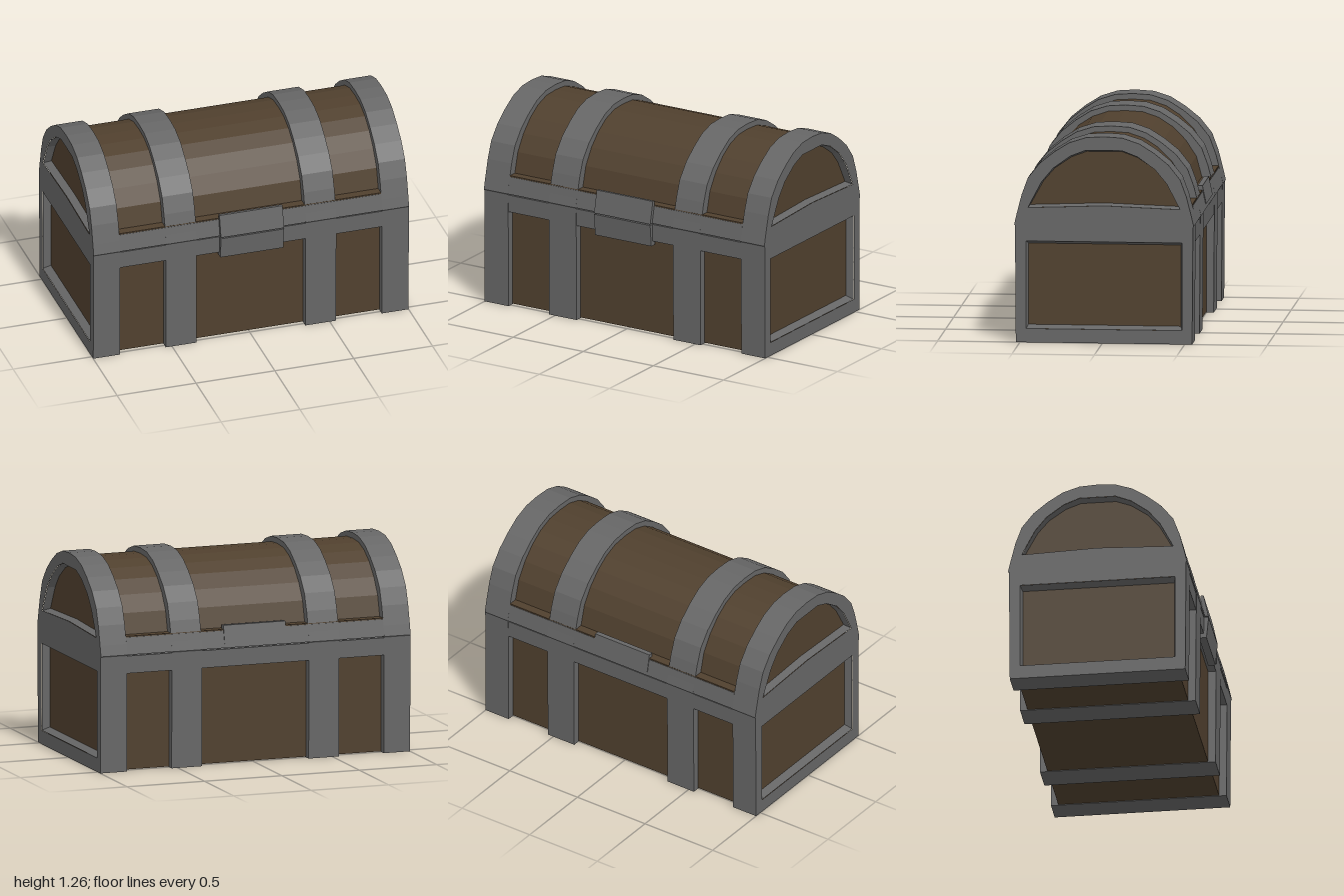
import * as THREE from 'three';

const metal = new THREE.MeshStandardMaterial({ color: 0x666666, flatShading: true });
const wood = new THREE.MeshStandardMaterial({ color: 0x50402e, flatShading: true });
const metalThin = new THREE.MeshStandardMaterial({ color: 0x666666, flatShading: true, side: THREE.DoubleSide });

const MID = -0.01; // centre of the cross-section in z

// Half profiles as [distance from MID, y], from the apex outwards
const OUTER_ARCH = [[0, 1.267], [0.11, 1.26], [0.212, 1.227], [0.303, 1.17], [0.39, 1.1], [0.462, 1.01], [0.5, 0.907], [0.53, 0.79], [0.545, 0.725]];
const OUTER = [...OUTER_ARCH, [0.54, 0.717], [0.535, 0.006]];
const CORE = [[0, 1.233], [0.105, 1.227], [0.2, 1.195], [0.285, 1.14], [0.365, 1.06], [0.43, 0.96], [0.465, 0.83], [0.49, 0.7], [0.49, 0.01]];
const HOLLOW = [[0, 1.19], [0.19, 1.15], [0.36, 1.02], [0.45, 0.8], [0.45, 0.04]];
const ARCH_OPENING = [[0.11, 1.183], [0.205, 1.146], [0.31, 1.07], [0.38, 0.985], [0.43, 0.89], [0.462, 0.828], [0, 0.845]];
const BOX_OPENING = [[0.473, 0.625], [0.473, 0.09]];

// Closed outline [z, y] from a half profile
function mirror(half) {
  const back = half.filter(([d]) => d > 0).reverse().map(([d, y]) => [MID - d, y]);
  return [...half.map(([d, y]) => [MID + d, y]), ...back];
}

const vectors = (pts) => pts.map(([z, y]) => new THREE.Vector2(z, y));

// Extrude a z-y outline along x from x0 to x1
function prism(name, pts, x0, x1, material, holes = []) {
  const shape = new THREE.Shape(vectors(pts));
  for (const hole of holes) shape.holes.push(new THREE.Path(vectors(hole)));
  const geo = new THREE.ExtrudeGeometry(shape, { depth: x1 - x0, bevelEnabled: false });
  geo.rotateY(-Math.PI / 2).translate(x1, 0, 0);
  const mesh = new THREE.Mesh(geo, material);
  mesh.name = name;
  return mesh;
}

// Sloping inner edge of an end opening
function liner(name, pts, side) {
  const cy = pts.reduce((sum, p) => sum + p[1], 0) / pts.length;
  const inner = pts.map(([z, y]) => [MID + (z - MID) * 0.975, cy + (y - cy) * 0.92]);
  const pos = [];
  const index = [];
  pts.forEach((p, i) => {
    pos.push(side * 0.998, p[1], p[0], side * 0.945, inner[i][1], inner[i][0]);
    const a = 2 * i;
    const b = 2 * ((i + 1) % pts.length);
    index.push(a, b, a + 1, b, b + 1, a + 1);
  });
  const geo = new THREE.BufferGeometry();
  geo.setAttribute('position', new THREE.Float32BufferAttribute(pos, 3));
  geo.setIndex(index);
  geo.computeVertexNormals();
  const mesh = new THREE.Mesh(geo, metalThin);
  mesh.name = name;
  return mesh;
}

export function createModel() {
  const chest = new THREE.Group();
  chest.name = 'chest';

  // Wooden body and barrel lid
  chest.add(prism('woodBody', mirror(CORE), -0.95, 0.95, wood));

  const archHole = mirror(ARCH_OPENING);
  const boxHole = mirror(BOX_OPENING);
  for (const s of [-1, 1]) {
    const span = (a, b) => (s > 0 ? [a, b] : [-b, -a]);
    // End frame with an arched and a rectangular opening
    chest.add(prism('endFrame', mirror(OUTER), ...span(0.83, 1), metal, [archHole, boxHole]));
    chest.add(liner('archOpeningEdge', archHole, s));
    chest.add(liner('boxOpeningEdge', boxHole, s));
    // Strap around lid, walls and bottom
    chest.add(prism('strap', mirror(OUTER), ...span(0.345, 0.54), metal, [mirror(HOLLOW)]));
  }

  // Horizontal rims of body and lid, front and back
  for (const s of [-1, 1]) {
    const rim = (pts) => {
      const out = pts.map(([d, y]) => [MID + s * d, y]);
      return s > 0 ? out : out.reverse();
    };
    chest.add(prism('bodyRim', rim([[0.45, 0.61], [0.538, 0.61], [0.539, 0.717], [0.45, 0.717]]), -0.83, 0.83, metal));
    chest.add(prism('lidRim', rim([[0.44, 0.725], [0.544, 0.725], [0.522, 0.828], [0.44, 0.828]]), -0.83, 0.83, metal));
    chest.add(prism('lidLedge', rim([[0.44, 0.82], [0.521, 0.82], [0.519, 0.835], [0.44, 0.835]]), -0.83, 0.83, wood));
  }

  // Clasp halves on the front
  chest.add(prism('claspUpper', [[0.5, 0.725], [0.557, 0.725], [0.527, 0.863], [0.51, 0.863]], -0.2, 0.2, metal));
  chest.add(prism('claspLower', [[0.5, 0.582], [0.545, 0.582], [0.558, 0.718], [0.5, 0.718]], -0.2, 0.2, metal));

  // Hinge plate rising just above the rear rim
  chest.add(prism('hingePlate', [[-0.5, 0.75], [-0.5, 0.86], [-0.53, 0.86], [-0.553, 0.75]], -0.2, 0.2, metal));

  return chest;
}
